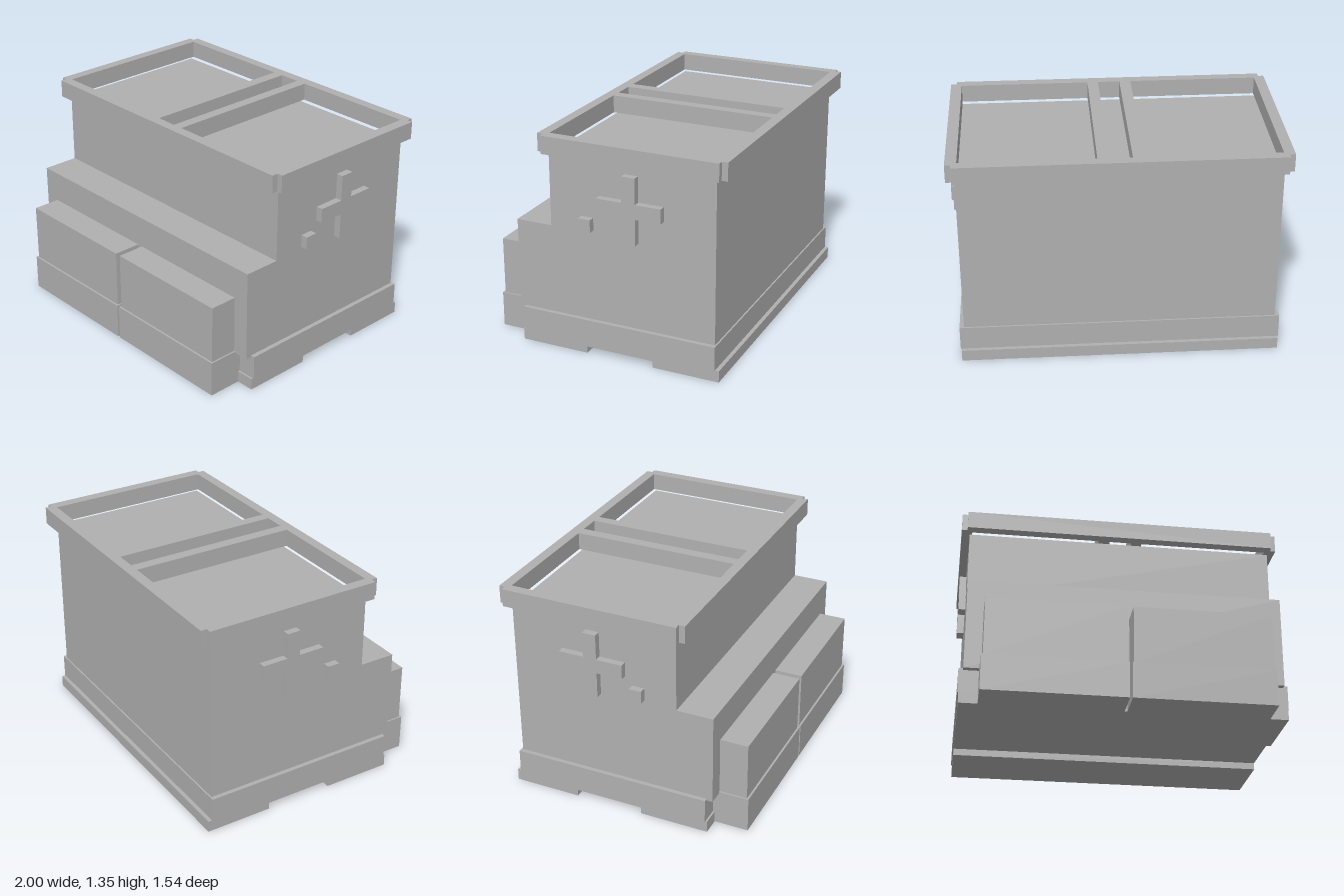
import * as THREE from 'three';

const grey = new THREE.MeshStandardMaterial({ color: 0xb0b0b0 });
grey.name = 'plain grey';

const toShape = (pts) => new THREE.Shape(pts.map(([a, b]) => new THREE.Vector2(a, b)));
const rect = (a0, a1, b0, b1) => [[a0, b0], [a1, b0], [a1, b1], [a0, b1]];

export function createModel() {
  const model = new THREE.Group();
  model.name = 'crate';

  const add = (name, geometry) => {
    const mesh = new THREE.Mesh(geometry, grey);
    mesh.name = name;
    model.add(mesh);
    return mesh;
  };

  // Box given by its limits on each axis
  const box = (name, x0, x1, y0, y1, z0, z1) =>
    add(name, new THREE.BoxGeometry(x1 - x0, y1 - y0, z1 - z0))
      .position.set((x0 + x1) / 2, (y0 + y1) / 2, (z0 + z1) / 2);

  // Side profile of [z, y] points, extruded along x about a centre
  const sideProfile = (name, pts, width, cx = 0) => {
    const g = new THREE.ExtrudeGeometry(toShape(pts), { depth: width, bevelEnabled: false });
    g.translate(0, 0, -width / 2).rotateY(-Math.PI / 2);
    add(name, g).position.x = cx;
  };

  // Stepped body
  sideProfile('body', [
    [0.58, 0.21], [0.58, 0.78], [0.35, 0.78], [0.35, 1.22], [-0.7, 1.22], [-0.7, 0.21],
  ], 1.9);

  // Base band and the foot below it, with a channel running across
  box('baseBand', -0.977, 0.977, 0.07, 0.222, -0.71, 0.543);
  sideProfile('foot', [
    [0.555, 0], [0.555, 0.072], [-0.735, 0.072], [-0.735, 0],
    [-0.312, 0], [-0.312, 0.042], [0.12, 0.042], [0.12, 0],
  ], 1.942);

  // Lid frame with notched corners and three openings
  const lid = toShape([
    [-0.965, -0.77], [0.965, -0.77], [0.965, -0.733], [1, -0.733], [1, 0.375], [0.965, 0.375],
    [0.965, 0.413], [-0.965, 0.413], [-0.965, 0.375], [-1, 0.375], [-1, -0.733], [-0.965, -0.733],
  ]);
  for (const [x0, x1] of [[-0.935, -0.138], [-0.068, 0.068], [0.135, 0.932]]) {
    lid.holes.push(toShape(rect(x0, x1, -0.705, 0.35)));
  }
  const lidGeometry = new THREE.ExtrudeGeometry(lid, { depth: 0.11, bevelEnabled: false });
  lidGeometry.rotateX(Math.PI / 2);
  add('lidFrame', lidGeometry).position.y = 1.346;

  for (const [side, s] of [['left', 1], ['right', -1]]) {
    // Front blocks, each on a slightly larger plinth
    const span = (a, b) => (s > 0 ? [a, b] : [-b, -a]);
    box(side + 'FrontBlock', ...span(0.018, 0.848), 0.222, 0.583, 0.57, 0.755);
    box(side + 'FrontPlinth', ...span(0.008, 0.858), 0, 0.222, 0.543, 0.768);

    // Raised cross and small square button
    sideProfile(side + 'Cross', [
      [-0.22, 0.767], [-0.135, 0.767], [-0.135, 0.928], [0.028, 0.928], [0.028, 1.018], [-0.135, 1.018],
      [-0.135, 1.176], [-0.22, 1.176], [-0.22, 1.018], [-0.38, 1.018], [-0.38, 0.928], [-0.22, 0.928],
    ], 0.05, s * 0.968);
    box(side + 'Button', ...span(0.945, 0.993), 0.797, 0.875, 0.07, 0.148);
  }

  return model;
}
